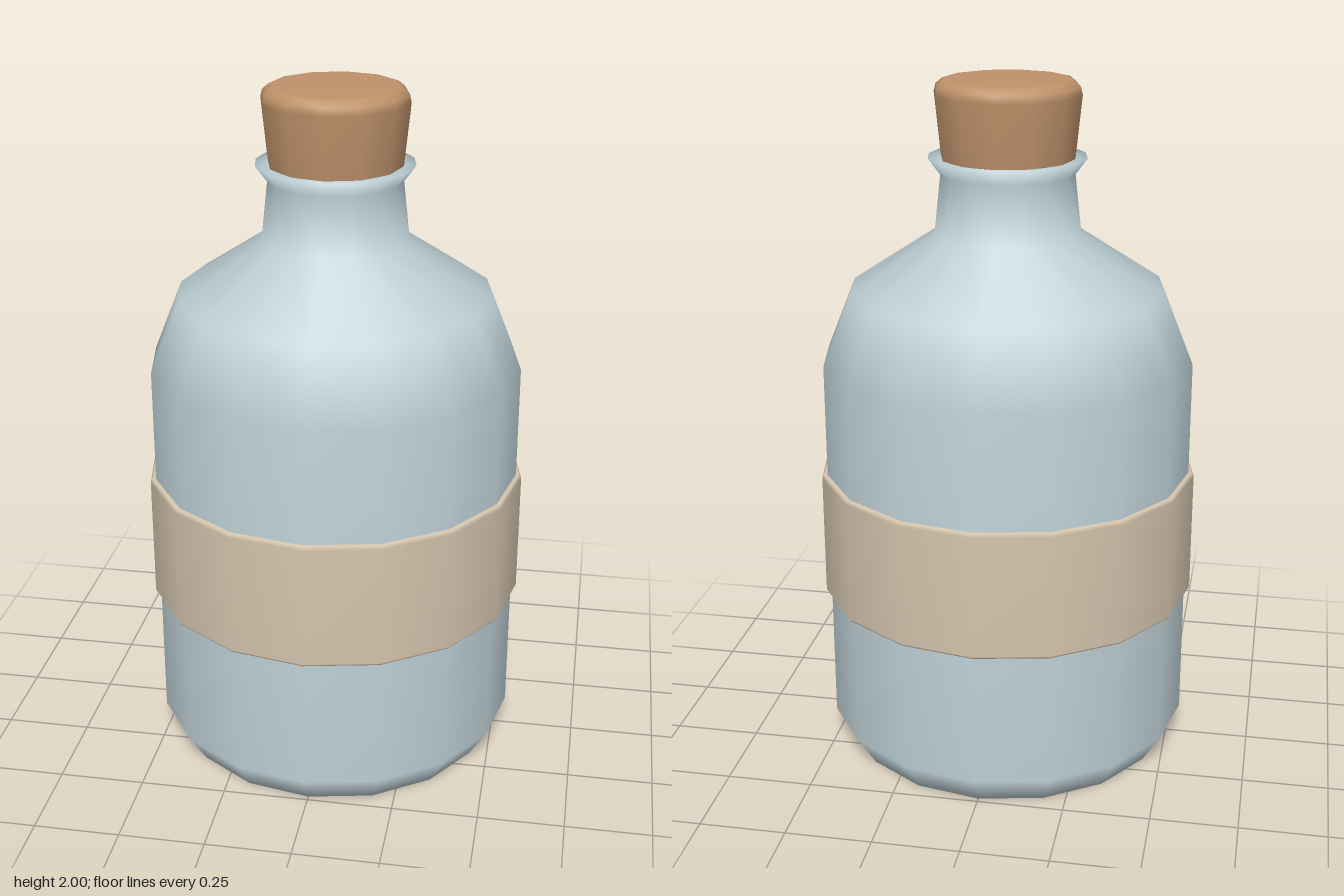
import * as THREE from 'three';

const material = (name, color) => {
  const m = new THREE.MeshStandardMaterial({ color });
  m.name = name;
  return m;
};

// Smooth turned part from [radius, height] points, listed bottom to top
function turned(name, profile, sides, mat) {
  const points = profile.map(([r, y]) => new THREE.Vector2(r, y));
  const mesh = new THREE.Mesh(new THREE.LatheGeometry(points, sides), mat);
  mesh.name = name;
  return mesh;
}

export function createModel() {
  const glass = material('pale blue glass', 0xc0d2d8);
  const paper = material('beige label', 0xd4c4ad);
  const corkBrown = material('cork brown', 0xbe926a);

  const group = new THREE.Group();
  group.name = 'corkedBottle';

  // Bottle: chamfered foot, straight wall, sloped shoulder, flared lip
  group.add(turned('bottle', [
    [0, 0], [0.485, 0], [0.54, 0.09], [0.54, 1.2], [0.455, 1.41],
    [0.212, 1.57], [0.193, 1.74], [0.227, 1.785], [0.17, 1.78],
  ], 16, glass));

  // Label band: a closed ring with softened edges
  group.add(turned('labelBand', [
    [0.53, 0.49], [0.55, 0.49], [0.556, 0.498], [0.556, 0.857],
    [0.55, 0.867], [0.53, 0.867],
  ], 16, paper));

  // Stopper: tapered plug with a rounded top edge
  group.add(turned('corkStopper', [
    [0, 1.73], [0.18, 1.73], [0.192, 1.785], [0.21, 1.96], [0.205, 1.982],
    [0.186, 1.998], [0.175, 2], [0, 2],
  ], 12, corkBrown));

  return group;
}
